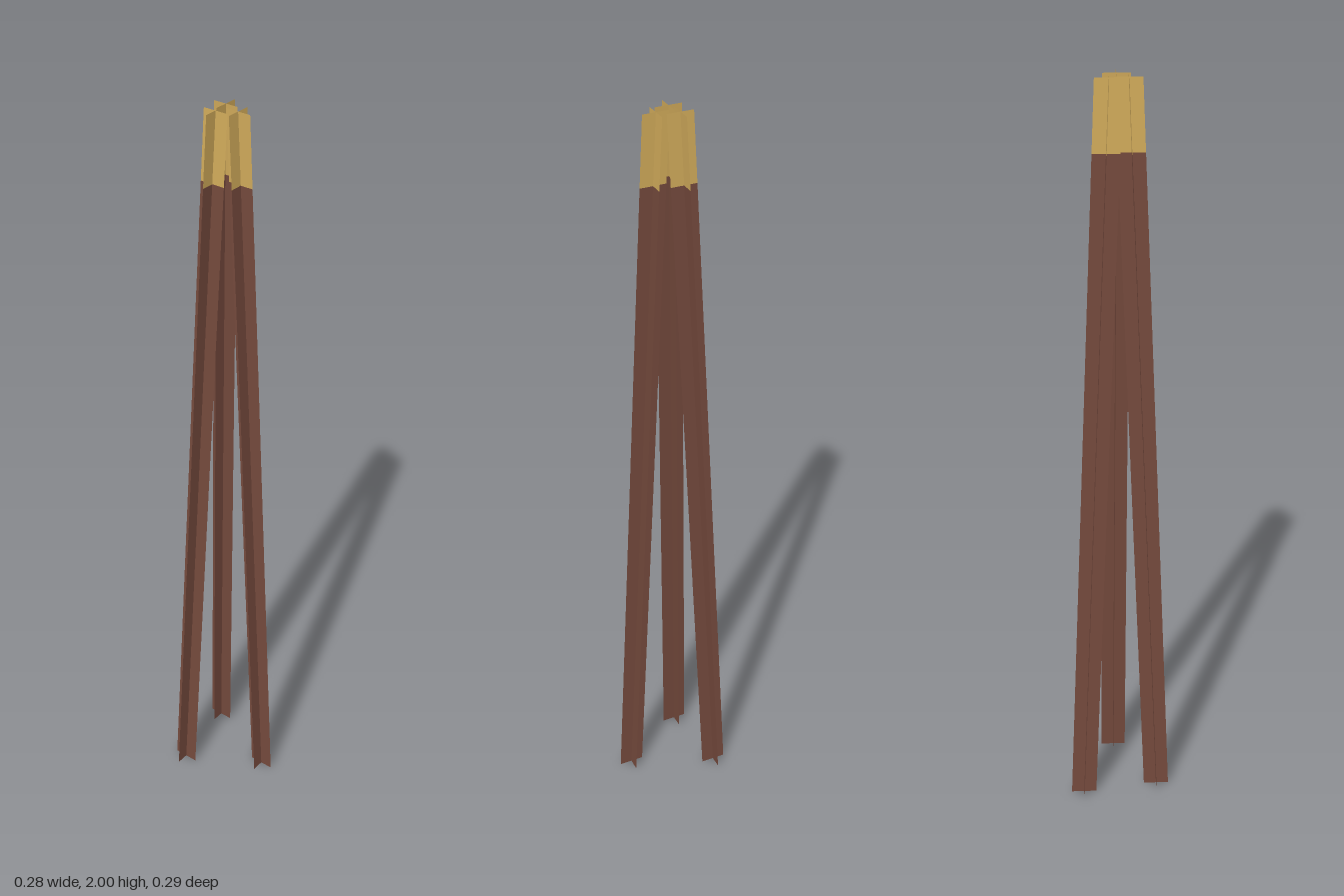
import * as THREE from 'three';

const WIDTH = 0.069;      // width of every blade
const HEIGHT = 2;
const CAP_START = 1.82;   // height where the coloured tip begins

// Centre line of each leg: foot [x, z] at the ground and tip [x, z] at the top
const LEGS = [
  { name: 'frontLeg', foot: [0.011, 0.111], tip: [0.004, 0.022] },
  { name: 'backLeftLeg', foot: [0.103, -0.112], tip: [0.025, -0.03] },
  { name: 'backRightLeg', foot: [-0.103, -0.082], tip: [-0.023, -0.022] },
];

// Upright blade, sheared so that its centre follows the leg from y0 to y1
function blade(leg, y0, y1, turned) {
  const geo = new THREE.PlaneGeometry(WIDTH, y1 - y0);
  geo.translate(0, (y0 + y1) / 2, 0);
  if (turned) geo.rotateY(Math.PI / 2);
  const pos = geo.attributes.position;
  for (let i = 0; i < pos.count; i++) {
    const t = pos.getY(i) / HEIGHT;
    pos.setX(i, pos.getX(i) + THREE.MathUtils.lerp(leg.foot[0], leg.tip[0], t));
    pos.setZ(i, pos.getZ(i) + THREE.MathUtils.lerp(leg.foot[1], leg.tip[1], t));
  }
  geo.computeVertexNormals();
  return geo;
}

export function createModel() {
  const model = new THREE.Group();
  model.name = 'threeLeggedStand';
  const wood = new THREE.MeshStandardMaterial({ color: 0x74493c, side: THREE.DoubleSide });
  const gold = new THREE.MeshStandardMaterial({ color: 0xd0aa5a, side: THREE.DoubleSide });

  for (const leg of LEGS) {
    const group = new THREE.Group();
    group.name = leg.name;
    // Two crossed blades per leg, each with a shaft and a tip
    for (const turned of [false, true]) {
      const side = turned ? 'Side' : 'Front';
      const shaft = new THREE.Mesh(blade(leg, 0, CAP_START, turned), wood);
      shaft.name = `shaft${side}Blade`;
      const tip = new THREE.Mesh(blade(leg, CAP_START, HEIGHT, turned), gold);
      tip.name = `tip${side}Blade`;
      group.add(shaft, tip);
    }
    model.add(group);
  }
  return model;
}
